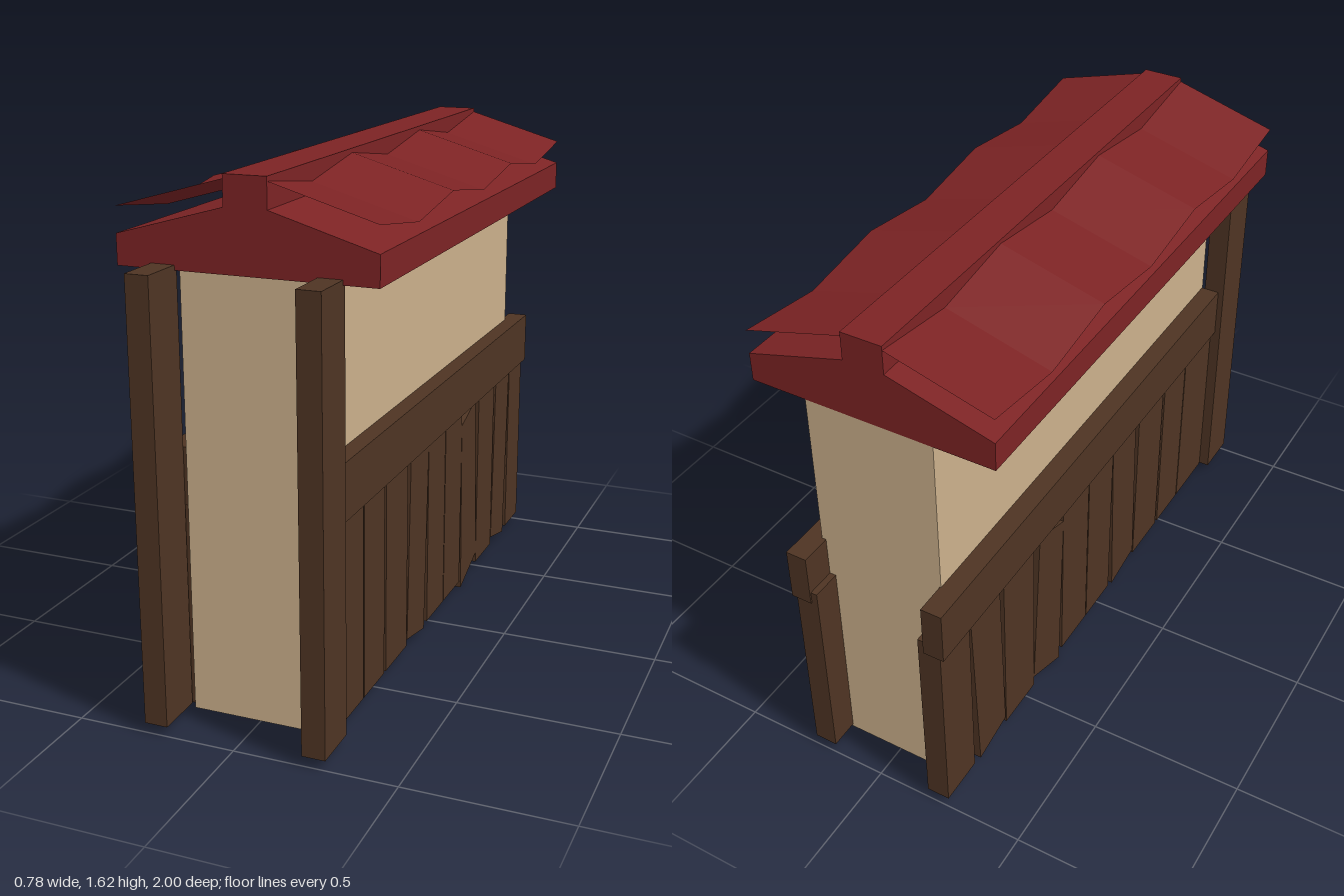
import * as THREE from 'three';

export function createModel() {
  const model = new THREE.Group();
  const mat = (name, color, side = THREE.FrontSide) => {
    const m = new THREE.MeshStandardMaterial({ color, side, flatShading: true });
    m.name = name;
    return m;
  };
  const plaster = mat('plaster', 0xcbb08b, THREE.DoubleSide);
  const wood = mat('darkWood', 0x4e3423);
  const red = mat('roofRed', 0x7c2324, THREE.DoubleSide);

  const add = (name, geometry, material) => {
    const mesh = new THREE.Mesh(geometry, material);
    mesh.name = name;
    model.add(mesh);
    return mesh;
  };
  // Box given by its extents on each axis
  const box = (x0, x1, y0, y1, z0, z1) =>
    new THREE.BoxGeometry(x1 - x0, y1 - y0, z1 - z0)
      .translate((x0 + x1) / 2, (y0 + y1) / 2, (z0 + z1) / 2);
  const outline = (points) => new THREE.Shape(points.map(([a, b]) => new THREE.Vector2(a, b)));

  // Wall: a shell that is open underneath
  const wall = box(-0.2, 0.21, 0.02, 1.345, -0.9, 0.85);
  const faces = Array.from(wall.index.array);
  faces.splice(18, 6);
  wall.setIndex(faces);
  wall.clearGroups();
  add('wall', wall, plaster);

  // Planks: corners as [z, y], running from front to back
  const straight = (z0, z1) => [[z0, 0.03], [z1, 0.03], [z1, 0.7], [z0, 0.7]];
  const planks = [
    straight(0.84, 0.63),
    straight(0.625, 0.46),
    straight(0.445, 0.26),
    [[0.255, 0.05], [0.095, 0.018], [0.065, 0.68], [0.23, 0.7]],
    straight(0.065, -0.1),
    straight(-0.105, -0.275),
    [[-0.295, 0], [-0.465, 0.067], [-0.425, 0.66], [-0.275, 0.61]],
    straight(-0.465, -0.645),
    [[-0.65, 0.055], [-0.805, 0.02], [-0.833, 0.68], [-0.67, 0.7]],
    straight(-0.84, -0.995),
  ];

  for (const side of [1, -1]) {
    const label = side > 0 ? 'left' : 'right';
    const mirrored = (a, b, ...rest) =>
      side > 0 ? box(a, b, ...rest) : box(-b, -a, ...rest);
    add(label + 'Post', mirrored(0.212, 0.284, 0.03, 1.36, 0.845, 1), wood);
    add(label + 'Beam', mirrored(0.196, 0.264, 0.66, 0.835, -1, 0.845), wood);
    planks.forEach((corners, i) => {
      const g = new THREE.ExtrudeGeometry(outline(corners.map(([z, y]) => [-z, y])),
        { depth: 0.075, bevelEnabled: false });
      g.rotateY(Math.PI / 2);
      g.translate(side > 0 ? 0.175 : -0.25, 0, 0);
      add(label + 'Plank' + (i + 1), g, wood);
    });
  }

  // Roof body with raised ridge
  const roof = new THREE.ExtrudeGeometry(outline([
    [-0.39, 1.345], [0.387, 1.345], [0.387, 1.435], [0.07, 1.528],
    [0.07, 1.617], [-0.06, 1.617], [-0.06, 1.528], [-0.39, 1.435],
  ]), { depth: 1.757, bevelEnabled: false });
  roof.translate(0, 0, -0.9);
  add('roofBody', roof, red);

  // Thin folded sheets above each slope
  for (const [name, inner, outer] of [['leftRoofSheet', 0.07, 0.387], ['rightRoofSheet', -0.06, -0.39]]) {
    const sheet = new THREE.PlaneGeometry(1, 1, 1, 6);
    const p = sheet.attributes.position;
    for (let row = 0; row <= 6; row++) {
      const drop = row % 2 ? 0.042 : 0;
      const z = -0.9 + 1.757 * row / 6;
      const [a, b] = inner > 0 ? [inner, outer] : [outer, inner];
      p.setXYZ(row * 2, a, (a === inner ? 1.604 : 1.511) - drop, z);
      p.setXYZ(row * 2 + 1, b, (b === inner ? 1.604 : 1.511) - drop, z);
    }
    const flat = sheet.toNonIndexed();
    flat.computeVertexNormals();
    add(name, flat, red);
  }
  return model;
}
